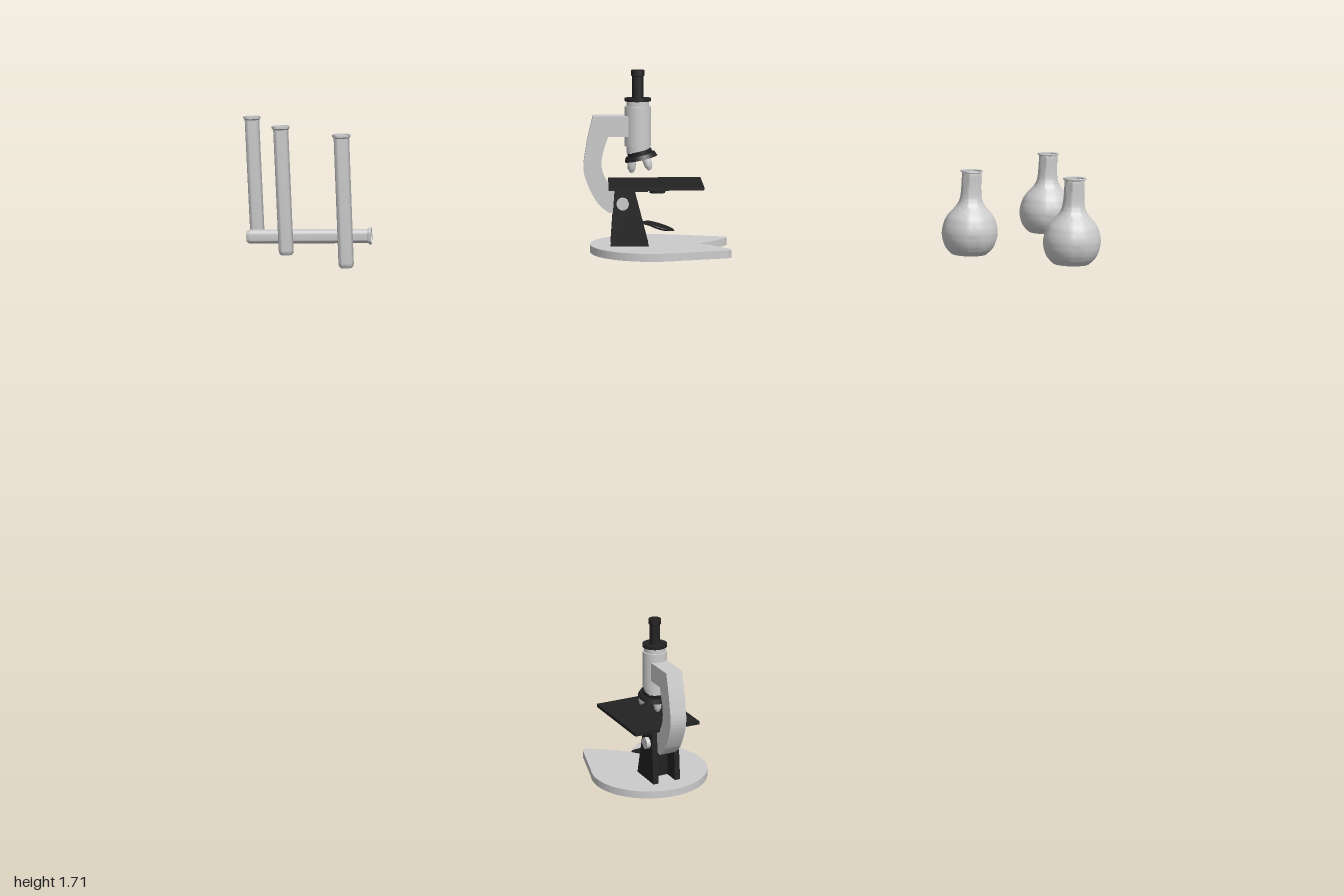
import * as THREE from 'three';
import { toCreasedNormals } from 'three/addons/utils/BufferGeometryUtils.js';

const grey = new THREE.MeshStandardMaterial({ color: 0xcccccc });
const glass = new THREE.MeshStandardMaterial({ color: 0xcccccc, side: THREE.DoubleSide });
const black = new THREE.MeshStandardMaterial({ color: 0x222222 });

function add(parent, name, geometry, material, x = 0, y = 0, z = 0) {
  const mesh = new THREE.Mesh(geometry, material);
  mesh.name = name;
  mesh.position.set(x, y, z);
  parent.add(mesh);
  return mesh;
}

const vecs = (pts) => pts.map(([x, y]) => new THREE.Vector2(x, y));
const cyl = (rTop, rBottom, h, n = 32) => new THREE.CylinderGeometry(rTop, rBottom, h, n);
const lathe = (pts, n = 32) => toCreasedNormals(new THREE.LatheGeometry(vecs(pts), n), 0.7);

// Extrude a shape by depth, centred on z
function slab(shape, depth) {
  const g = new THREE.ExtrudeGeometry(shape, { depth, bevelEnabled: false, curveSegments: 24 });
  g.translate(0, 0, -depth / 2);
  return toCreasedNormals(g, 0.6);
}

// Round foot with two pointed toes and a notch between them
function baseGeometry() {
  const s = new THREE.Shape();
  s.absarc(0, 0, 0.143, 1.2, Math.PI * 2 - 1.2, false);
  s.lineTo(0.166, -0.101);
  s.quadraticCurveTo(0.178, -0.097, 0.177, -0.086);
  s.quadraticCurveTo(0.176, -0.078, 0.168, -0.07);
  s.lineTo(0.13, -0.018);
  s.quadraticCurveTo(0.095, 0, 0.13, 0.018);
  s.lineTo(0.168, 0.07);
  s.quadraticCurveTo(0.176, 0.078, 0.177, 0.086);
  s.quadraticCurveTo(0.178, 0.097, 0.166, 0.101);
  s.closePath();
  return slab(s, 0.018).rotateX(-Math.PI / 2);
}

// C-shaped arm with a straight top bar reaching the body tube
function armGeometry() {
  const s = new THREE.Shape();
  s.moveTo(-0.04, 0.314);
  s.lineTo(-0.134, 0.314);
  s.splineThru(vecs([[-0.15, 0.245], [-0.155, 0.185], [-0.128, 0.122], [-0.098, 0.094]]));
  s.lineTo(-0.07, 0.105);
  s.lineTo(-0.072, 0.132);
  s.splineThru(vecs([[-0.108, 0.172], [-0.115, 0.215], [-0.1, 0.268]]));
  s.lineTo(-0.04, 0.268);
  s.closePath();
  return slab(s, 0.042);
}

// Microscope facing +x, standing on y = 0
function microscope(name) {
  const g = new THREE.Group();
  g.name = name;
  const tubeX = -0.032;

  add(g, 'base', baseGeometry(), grey, 0, 0.011, 0);
  add(g, 'arm', armGeometry(), grey);

  // Pillar: two cheeks joined by a web, with pivot knobs
  const cheek = new THREE.Shape(vecs([[-0.096, 0.018], [-0.008, 0.018], [-0.042, 0.15], [-0.086, 0.15]]));
  const cheekGeo = slab(cheek, 0.014);
  for (const side of [-1, 1]) {
    add(g, 'pillarCheek', cheekGeo, black, 0, 0, side * 0.029);
    add(g, 'pivotKnob', cyl(0.014, 0.014, 0.012, 24).rotateX(Math.PI / 2), grey, -0.068, 0.118, side * 0.04);
  }
  const web = new THREE.Shape(vecs([[-0.055, 0.018], [-0.01, 0.018], [-0.042, 0.15], [-0.058, 0.15]]));
  add(g, 'pillarWeb', slab(web, 0.046), black);

  // Stage with condenser below
  add(g, 'stage', new THREE.BoxGeometry(0.215, 0.008, 0.172), black, 0.0075, 0.158, 0);
  add(g, 'stageBracket', new THREE.BoxGeometry(0.07, 0.012, 0.05), black, -0.045, 0.149, 0);
  add(g, 'condenser', cyl(0.02, 0.018, 0.016), black, 0.012, 0.146, 0);

  // Mirror on a short stem
  const mirror = new THREE.Group();
  mirror.name = 'mirror';
  mirror.position.set(0.016, 0.058, 0);
  mirror.rotation.z = -0.3;
  g.add(mirror);
  add(mirror, 'mirrorDisc', lathe([[0, -0.005], [0.022, -0.002], [0.036, 0.003], [0.034, 0.005], [0, 0.002]]), black);
  add(mirror, 'mirrorStem', new THREE.BoxGeometry(0.035, 0.006, 0.01), black, -0.04, 0, 0);

  // Body tube and eyepiece
  add(g, 'bodyTube', cyl(0.026, 0.026, 0.12), grey, tubeX, 0.289, 0);
  add(g, 'tubeSleeve', cyl(0.03, 0.03, 0.09), grey, tubeX, 0.29, 0);
  add(g, 'tubeCollar', cyl(0.03, 0.03, 0.007), black, tubeX, 0.35, 0);
  add(g, 'eyepiece', lathe([[0, 0], [0.013, 0], [0.013, 0.05], [0.015, 0.052], [0.015, 0.064], [0.008, 0.064], [0, 0.06]]), black, tubeX, 0.352, 0);

  // Tilted nosepiece carrying three objectives
  const nose = new THREE.Group();
  nose.name = 'nosepiece';
  nose.position.set(tubeX + 0.006, 0.221, 0);
  nose.rotation.z = 0.22;
  g.add(nose);
  add(nose, 'noseDisc', cyl(0.034, 0.038, 0.01), black);
  add(nose, 'noseHub', cyl(0.028, 0.028, 0.01), black, 0, 0.009, 0);
  for (let i = 0; i < 3; i++) {
    const turn = new THREE.Group();
    turn.name = 'objectiveMount';
    turn.rotation.y = Math.PI + i * Math.PI * 2 / 3;
    nose.add(turn);
    const o = add(turn, 'objective', lathe([[0, -0.028], [0.004, -0.028], [0.009, -0.019], [0.01, -0.004], [0.01, 0]], 20), grey, 0.022, -0.004, 0);
    o.rotation.z = 0.22;
  }
  return g;
}

export function createModel() {
  const model = new THREE.Group();
  model.name = 'laboratorySet';
  const shelfY = 1.292;

  // One microscope on the floor, one above it
  const lower = microscope('lowerMicroscope');
  lower.position.set(-0.05, 0, 0.073);
  lower.rotation.y = 2.007;
  const upper = microscope('upperMicroscope');
  upper.position.set(-0.04, 1.297, 0.072);
  model.add(lower, upper);

  // Round flasks with open necks
  const body = new THREE.SplineCurve(vecs([[0.04, 0], [0.056, 0.018], [0.064, 0.05], [0.055, 0.085], [0.033, 0.112], [0.024, 0.135], [0.022, 0.188]]));
  const flaskGeo = lathe([[0, 0], ...body.getPoints(28).map((p) => [p.x, p.y]), [0.026, 0.19], [0.025, 0.193], [0.021, 0.192], [0.02, 0.14]], 40);
  for (const [x, z] of [[0.692, 0.088], [0.936, -0.23], [0.898, 0.229]]) {
    add(model, 'flask', flaskGeo, glass, x, shelfY, z);
  }

  // Test tubes: three upright, one lying with its mouth towards +x
  const tubeGeo = lathe([[0, 0], [0.013, 0.001], [0.0165, 0.006], [0.017, 0.012], [0.017, 0.288], [0.02, 0.291], [0.02, 0.296], [0.016, 0.296], [0.015, 0.288], [0.015, 0.012], [0, 0.006]], 28);
  for (const [x, z] of [[-0.98, -0.168], [-0.882, 0.05], [-0.725, 0.229]]) {
    add(model, 'testTube', tubeGeo, glass, x, shelfY, z);
  }
  const lying = add(model, 'lyingTestTube', tubeGeo, glass, -1, 1.307, -0.13);
  lying.rotation.z = -Math.PI / 2;

  return model;
}
